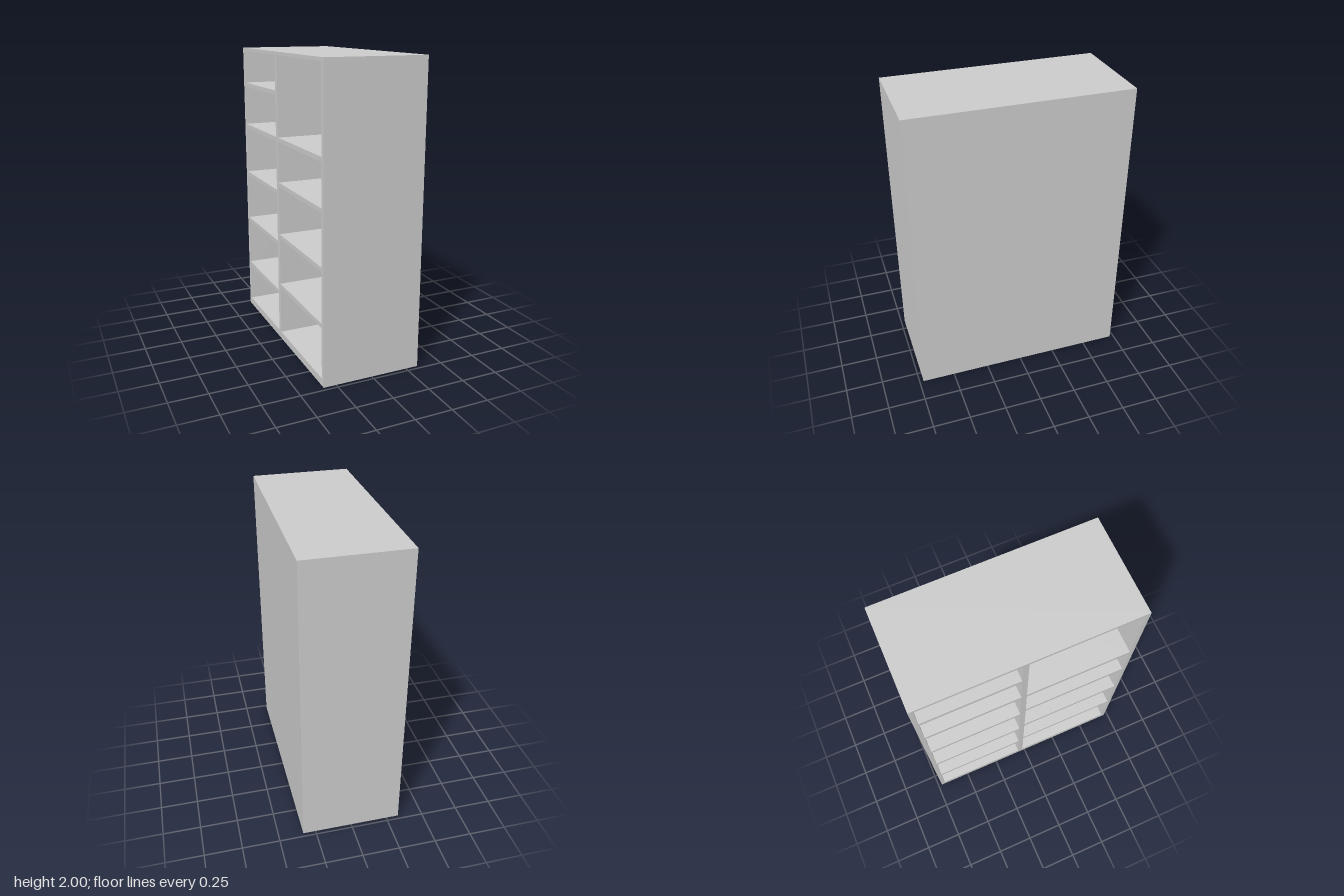
import * as THREE from 'three';

// Overall size: depth along x (open towards -x), height, width along z
const D = 0.67, H = 2, W = 1.446;
const BOARD = 0.03, BASE = 0.05, TOP = 0.022, BACK = 0.02;
const DIVIDER_Z = -0.037, DIVIDER_T = 0.038;

export function createModel() {
  const cabinet = new THREE.Group();
  cabinet.name = 'shelfCabinet';
  const material = new THREE.MeshStandardMaterial({ color: 0xcccccc, flatShading: true });

  // Board given by its lower and upper limits on each axis
  const board = (name, x0, x1, y0, y1, z0, z1) => {
    const mesh = new THREE.Mesh(new THREE.BoxGeometry(x1 - x0, y1 - y0, z1 - z0), material);
    mesh.position.set((x0 + x1) / 2, (y0 + y1) / 2, (z0 + z1) / 2);
    mesh.name = name;
    cabinet.add(mesh);
  };

  const x0 = -D / 2, x1 = D / 2, z0 = -W / 2, z1 = W / 2;
  const inner = x1 - BACK, ceiling = H - TOP;

  // Carcass
  board('base', x0, x1, 0, BASE, z0, z1);
  board('topPanel', x0, x1, ceiling, H, z0, z1);
  board('rearSidePanel', x0, x1, BASE, ceiling, z0, z0 + BOARD);
  board('frontSidePanel', x0, x1, BASE, ceiling, z1 - BOARD, z1);
  board('backPanel', inner, x1, BASE, ceiling, z0 + BOARD, z1 - BOARD);
  board('divider', x0, inner, BASE, ceiling, DIVIDER_Z - DIVIDER_T / 2, DIVIDER_Z + DIVIDER_T / 2);

  // Shelves of the two columns, listed by the height of their upper faces
  const columns = [
    { name: 'rearShelf', from: z0 + BOARD, to: DIVIDER_Z - DIVIDER_T / 2, tops: [0.357, 0.72, 1.082, 1.445, 1.75] },
    { name: 'frontShelf', from: DIVIDER_Z + DIVIDER_T / 2, to: z1 - BOARD, tops: [0.415, 0.777, 1.14, 1.445] },
  ];
  for (const { name, from, to, tops } of columns) {
    tops.forEach((y, i) => board(`${name}${i + 1}`, x0, inner, y - BOARD, y, from, to));
  }
  return cabinet;
}
